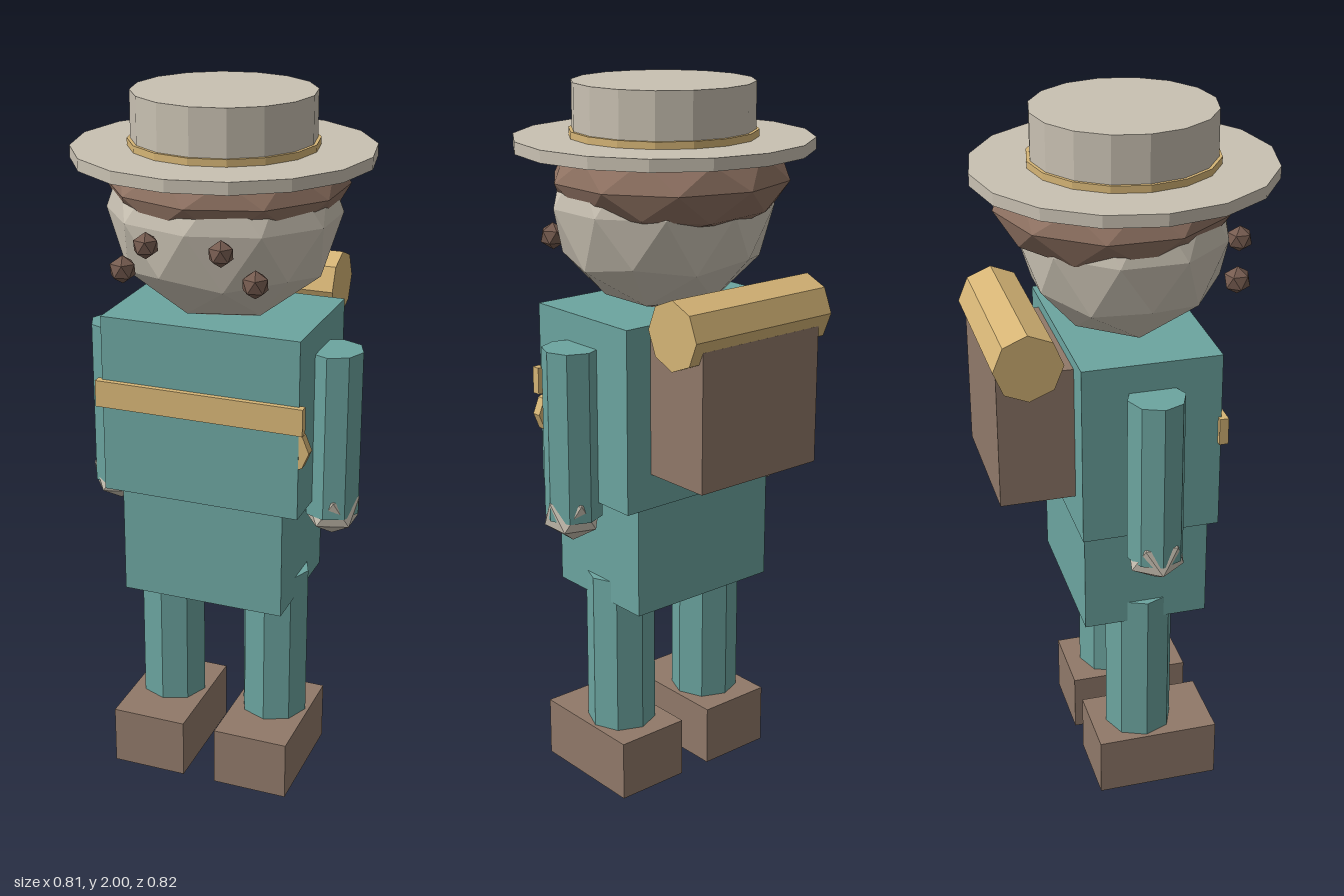
import * as THREE from 'three';

const mat = (name, color) => {
  const m = new THREE.MeshStandardMaterial({ color });
  m.name = name;
  return m;
};

export function createModel() {
  const model = new THREE.Group();
  model.name = 'explorer';

  const teal = mat('teal cloth', 0x6ca5a0);
  const brown = mat('brown leather', 0x907969);
  const hairBrown = mat('hair brown', 0x8f7262);
  const eyeBrown = mat('dark brown', 0x765c50);
  const mustard = mat('mustard', 0xd6b576);
  const felt = mat('felt beige', 0xc9c1b2);
  const skin = mat('pale skin', 0xcdc5b6);

  const add = (name, geometry, material, x, y, z) => {
    const mesh = new THREE.Mesh(geometry, material);
    mesh.name = name;
    mesh.position.set(x, y, z);
    model.add(mesh);
    return mesh;
  };

  // Faceted normals
  const facet = (g) => {
    const flat = g.index ? g.toNonIndexed() : g;
    flat.computeVertexNormals();
    return flat;
  };
  const cyl = (r, h, sides) => facet(new THREE.CylinderGeometry(r, r, h, sides));

  // Icosphere standing on one of its corners
  const ico = (sx, sy, sz, detail) => {
    const g = new THREE.IcosahedronGeometry(1, detail);
    g.rotateZ(-Math.atan(2 / (1 + Math.sqrt(5))));
    g.scale(sx, sy, sz);
    return facet(g);
  };

  // Box from its limits
  const box = (name, material, x0, x1, y0, y1, z0, z1) =>
    add(name, new THREE.BoxGeometry(x1 - x0, y1 - y0, z1 - z0), material,
      (x0 + x1) / 2, (y0 + y1) / 2, (z0 + z1) / 2);

  // Torso and hips
  box('torso', teal, -0.285, 0.285, 0.893, 1.404, -0.191, 0.191);
  box('hips', teal, -0.237, 0.237, 0.578, 0.91, -0.176, 0.176);

  // Limbs
  for (const [side, s] of [['left', 1], ['right', -1]]) {
    box(side + 'Boot', brown, s * 0.159 - 0.11, s * 0.159 + 0.11, 0, 0.175, -0.143, 0.209);
    add(side + 'Leg', cyl(0.098, 0.49, 8), teal, s * 0.161, 0.395, 0);
    add(side + 'Arm', cyl(0.079, 0.477, 8), teal, s * 0.322, 1.087, 0);
    add(side + 'Hand', ico(0.086, 0.086, 0.086, 0), skin, s * 0.326, 0.861, 0);
    // Two eyes on each side
    add(side + 'InnerEye', ico(0.036, 0.036, 0.036, 0), eyeBrown, s * 0.103, 1.647, 0.289);
    add(side + 'OuterEye', ico(0.038, 0.038, 0.038, 0), eyeBrown, s * 0.184, 1.566, 0.257);
  }

  // Chest strap and its buckle, set into the front corner of the torso
  box('chestStrap', mustard, -0.3, 0.3, 1.146, 1.222, 0.182, 0.207);
  const buckle = cyl(0.064, 0.028, 8);
  buckle.rotateX(Math.PI / 2);
  add('buckle', buckle, mustard, 0.25, 1.092, 0.1765);

  // Head and hair
  add('head', ico(0.322, 0.3, 0.287, 1), skin, 0, 1.68, -0.003);
  add('hair', ico(0.33, 0.155, 0.32, 1), hairBrown, 0, 1.75, -0.03);

  // Hat
  add('hatBrim', cyl(0.407, 0.033, 16), felt, 0, 1.8385, 0);
  add('hatBand', cyl(0.256, 0.022, 16), mustard, 0, 1.863, 0);
  add('hatCrown', cyl(0.247, 0.15, 16), felt, 0, 1.925, 0);

  // Backpack with bedroll
  box('backpack', brown, -0.205, 0.205, 0.992, 1.374, -0.398, -0.185);
  const roll = cyl(0.094, 0.477, 8);
  roll.rotateZ(Math.PI / 2);
  add('bedroll', roll, mustard, 0, 1.406, -0.317);

  return model;
}
